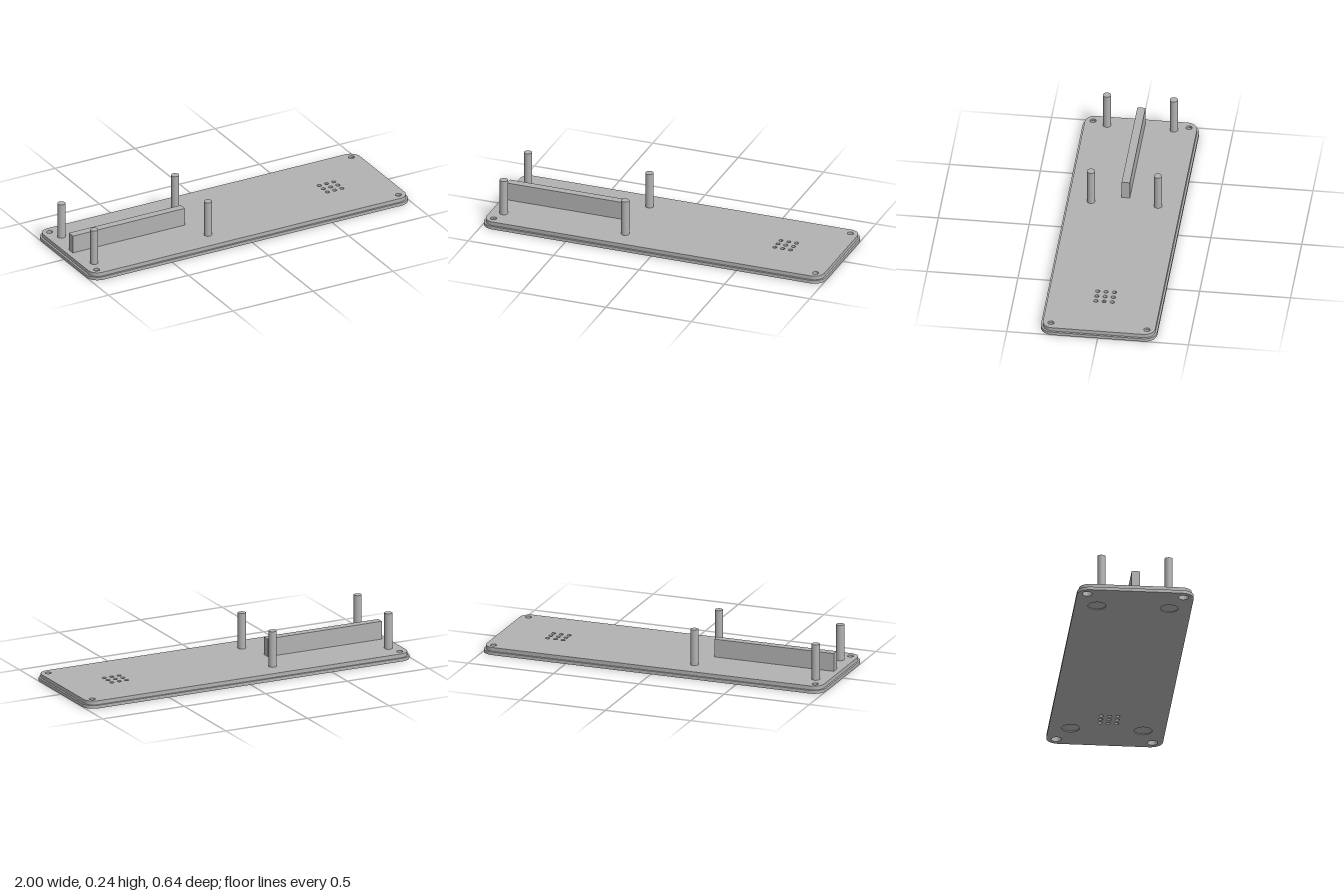
import * as THREE from 'three';
import { toCreasedNormals } from 'three/addons/utils/BufferGeometryUtils.js';

const FOOT_DEPTH = 0.005, LIP_TOP = 0.018, BORE_TOP = 0.026, PLATE_TOP = 0.04;

// Rounded rectangle centred on the origin
function roundedRect(hx, hz, r) {
  const s = new THREE.Shape();
  s.absarc(hx - r, hz - r, r, 0, Math.PI / 2);
  s.absarc(-hx + r, hz - r, r, Math.PI / 2, Math.PI);
  s.absarc(-hx + r, -hz + r, r, Math.PI, Math.PI * 1.5);
  s.absarc(hx - r, -hz + r, r, Math.PI * 1.5, Math.PI * 2);
  s.closePath();
  return s;
}

// Four mirrored positions
const corners = (x, z) => [[x, z], [-x, z], [-x, -z], [x, -z]];

function addHoles(shape, centres, r) {
  for (const [x, z] of centres) {
    shape.holes.push(new THREE.Path().absarc(x, z, r, 0, Math.PI * 2, true));
  }
}

export function createModel() {
  const group = new THREE.Group();
  const grey = new THREE.MeshStandardMaterial({ color: 0xb2b2b2 });
  grey.name = 'grey plastic';

  const add = (name, geometry, x = 0, y = 0, z = 0) => {
    const mesh = new THREE.Mesh(geometry, grey);
    mesh.name = name;
    mesh.position.set(x, y, z);
    group.add(mesh);
  };

  // Hole positions: corner screws, foot recesses, 3 x 3 vent grid
  const screws = corners(0.943, 0.264);
  const feet = corners(0.793, 0.198);
  const vents = [];
  for (let i = -1; i <= 1; i++) {
    for (let j = -1; j <= 1; j++) vents.push([0.666 + i * 0.0455, j * 0.0455]);
  }

  // One horizontal slice of the base plate
  const slice = (name, y0, y1, [hx, hz, r], screwRadius, withFeet) => {
    const shape = roundedRect(hx, hz, r);
    addHoles(shape, screws, screwRadius);
    addHoles(shape, vents, 0.012);
    if (withFeet) addHoles(shape, feet, 0.049);
    const g = new THREE.ExtrudeGeometry(shape, { depth: y1 - y0, bevelEnabled: false, curveSegments: 24 });
    g.rotateX(-Math.PI / 2);
    add(name, toCreasedNormals(g, 0.6), 0, y0, 0);
  };
  const outer = [1, 0.32, 0.07], inner = [0.989, 0.309, 0.059];
  slice('undersideWithFootRecesses', 0, FOOT_DEPTH, outer, 0.028, true);
  slice('lip', FOOT_DEPTH, LIP_TOP, outer, 0.028, false);
  slice('counterboreLayer', LIP_TOP, BORE_TOP, inner, 0.028, false);
  slice('topPlate', BORE_TOP, PLATE_TOP, inner, 0.017, false);

  // Standoff posts
  const postHeight = 0.243 - PLATE_TOP;
  const post = new THREE.CylinderGeometry(0.0225, 0.0225, postHeight, 32);
  for (const x of [-0.914, -0.203]) {
    for (const z of [-0.184, 0.184]) add('standoffPost', post, x, PLATE_TOP + postHeight / 2, z);
  }

  // Upright support rib between the posts
  const ribHeight = 0.142 - PLATE_TOP;
  add('supportRib', new THREE.BoxGeometry(0.7, ribHeight, 0.045), -0.607, PLATE_TOP + ribHeight / 2, 0);

  return group;
}
